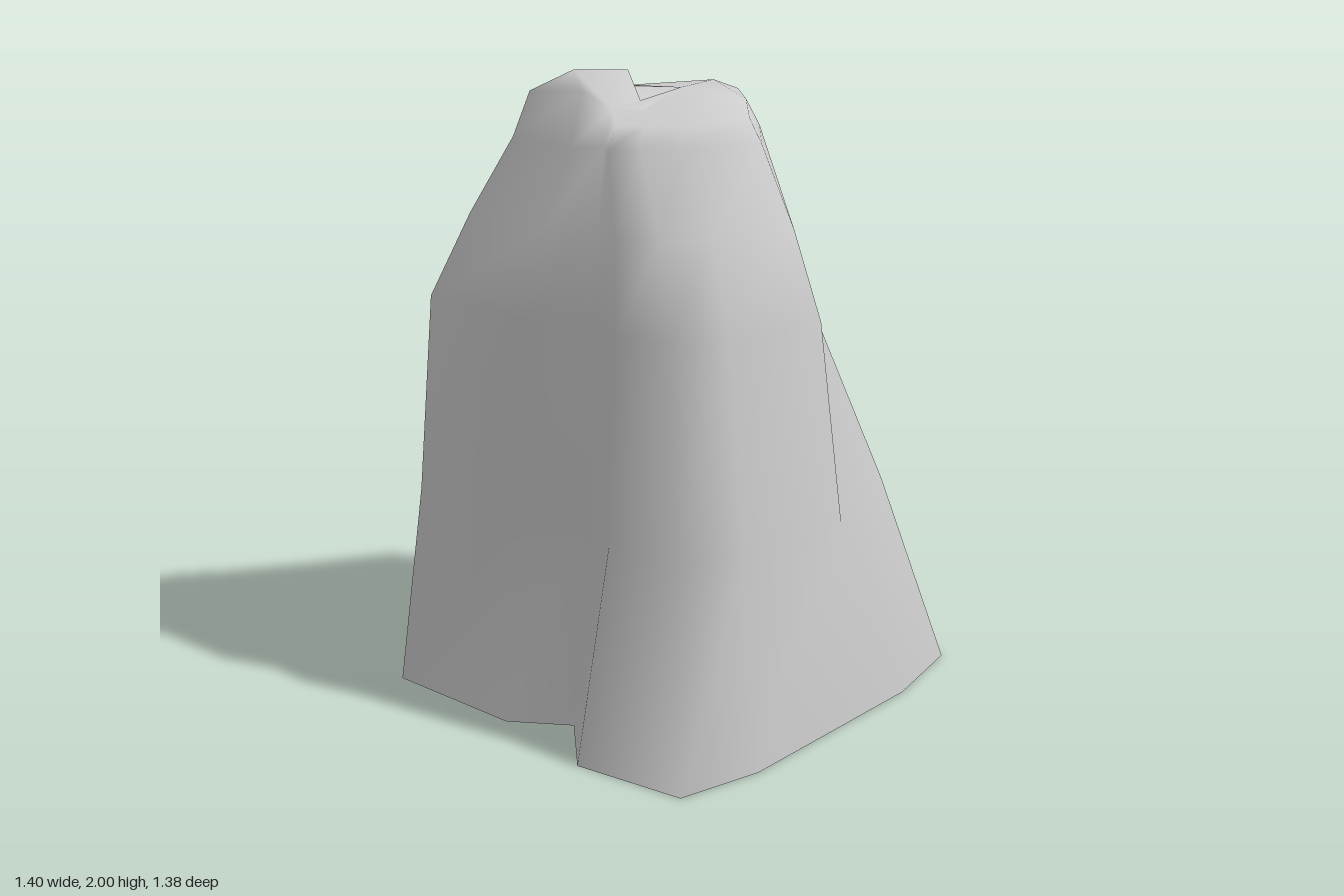
import * as THREE from 'three';

// Horizontal outlines [x, z, ...], walked clockwise from the front-left corner
const foot = [0.60, 0.64, 0.30, 0.685, -0.40, 0.64, -0.665, 0.555, -0.705, 0.195,
  -0.52, 0.02, -0.63, -0.16, -0.62, -0.62, -0.25, -0.685, -0.04, -0.64,
  0.20, -0.69, 0.615, -0.615, 0.635, -0.38, 0.70, 0.02, 0.67, 0.38];
const waist = [0.27, 0.28, -0.05, 0.585, -0.36, 0.48, -0.48, 0.36, -0.52, 0.2,
  -0.45, 0.04, -0.57, -0.14, -0.57, -0.48, -0.32, -0.5, -0.09, -0.45,
  0.08, -0.42, 0.36, -0.31, 0.39, -0.14, 0.395, 0.01, 0.35, 0.17];
const neck = [0.13, 0.22, -0.06, 0.37, -0.25, 0.25, -0.33, 0.14, -0.4, 0.08,
  -0.37, 0.04, -0.45, -0.02, -0.44, -0.25, -0.27, -0.32, -0.14, -0.32,
  -0.06, -0.31, 0, -0.25, 0.16, -0.08, 0.28, 0.06, 0.25, 0.1];

// Heights of the uneven rim below the two summits
const rimHeights = [1.88, 1.87, 1.86, 1.86, 1.86, 1.9, 1.96, 1.93, 1.91,
  1.93, 1.89, 1.88, 1.89, 1.87, 1.88];

// Outline between two others, with separate amounts across and in depth
const blend = (a, b, tx, tz) =>
  a.map((v, i) => THREE.MathUtils.lerp(v, b[i], i % 2 ? tz : tx));

export function createModel() {
  const n = rimHeights.length, positions = [], index = [];
  const point = (x, y, z) => positions.push(x, y, z) / 3 - 1;
  const addRing = (outline, heightAt) => {
    for (let i = 0; i < n; i++) point(outline[2 * i], heightAt(i), outline[2 * i + 1]);
  };

  // Trunk outline, with its two front corners bulging outwards
  const trunk = blend(foot, waist, 0.82, 0.55);
  trunk[0] += 0.06;
  trunk[1] += 0.08;
  trunk[6] -= 0.04;

  // Flared foot, steep trunk and shoulders, then the rim drawn inwards
  addRing(foot, () => 0);
  addRing(trunk, () => 0.66);
  addRing(waist, () => 1.3);
  addRing(blend(waist, neck, 0.55, 0.45), () => 1.56);
  addRing(neck, () => 1.8);
  addRing(neck.map((v, i) => (i % 2 ? v * 0.9 : -0.12 + (v + 0.12) * 0.85)),
    (i) => rimHeights[i]);

  // Side walls between successive rings
  const rimStart = positions.length / 3 - n;
  for (let r = 0; r < rimStart; r += n)
    for (let i = 0; i < n; i++) {
      const a = r + i, b = r + (i + 1) % n;
      index.push(b, a, a + n, b, a + n, b + n);
    }

  // Valley and summit points
  const valleyFront = point(-0.24, 1.89, 0.08);
  const valleyBack = point(-0.07, 1.9, -0.13);
  const frontTop = point(-0.08, 1.93, 0.09);
  const leftTop = point(0.1, 1.92, 0.07);
  const peak = point(-0.34, 2, -0.1);
  const shoulder = point(-0.19, 1.985, -0.02);
  const rim = (from, to) =>
    Array.from({ length: to - from + 1 }, (_, i) => rimStart + (from + i) % n);
  const fan = (hub, path) => {
    for (let i = 0; i + 1 < path.length; i++) index.push(hub, path[i + 1], path[i]);
  };

  // Front summit in two halves, then the taller rear summit
  fan(leftTop, [...rim(11, 15), frontTop, ...rim(11, 11)]);
  fan(frontTop, [...rim(0, 5), valleyFront, valleyBack, ...rim(10, 11), leftTop, ...rim(0, 0)]);
  fan(peak, [...rim(5, 9), shoulder, ...rim(5, 5)]);
  fan(shoulder, [...rim(9, 10), valleyBack, valleyFront, ...rim(5, 5)]);

  const geometry = new THREE.BufferGeometry();
  geometry.setAttribute('position', new THREE.Float32BufferAttribute(positions, 3));
  geometry.setIndex(index);
  geometry.computeVertexNormals();

  // Open underneath, so both sides show
  const rock = new THREE.Mesh(geometry, new THREE.MeshStandardMaterial({
    color: 0xcccccc, side: THREE.DoubleSide,
  }));
  rock.name = 'rockPillar';
  const group = new THREE.Group();
  group.name = 'rockFormation';
  group.add(rock);
  return group;
}
